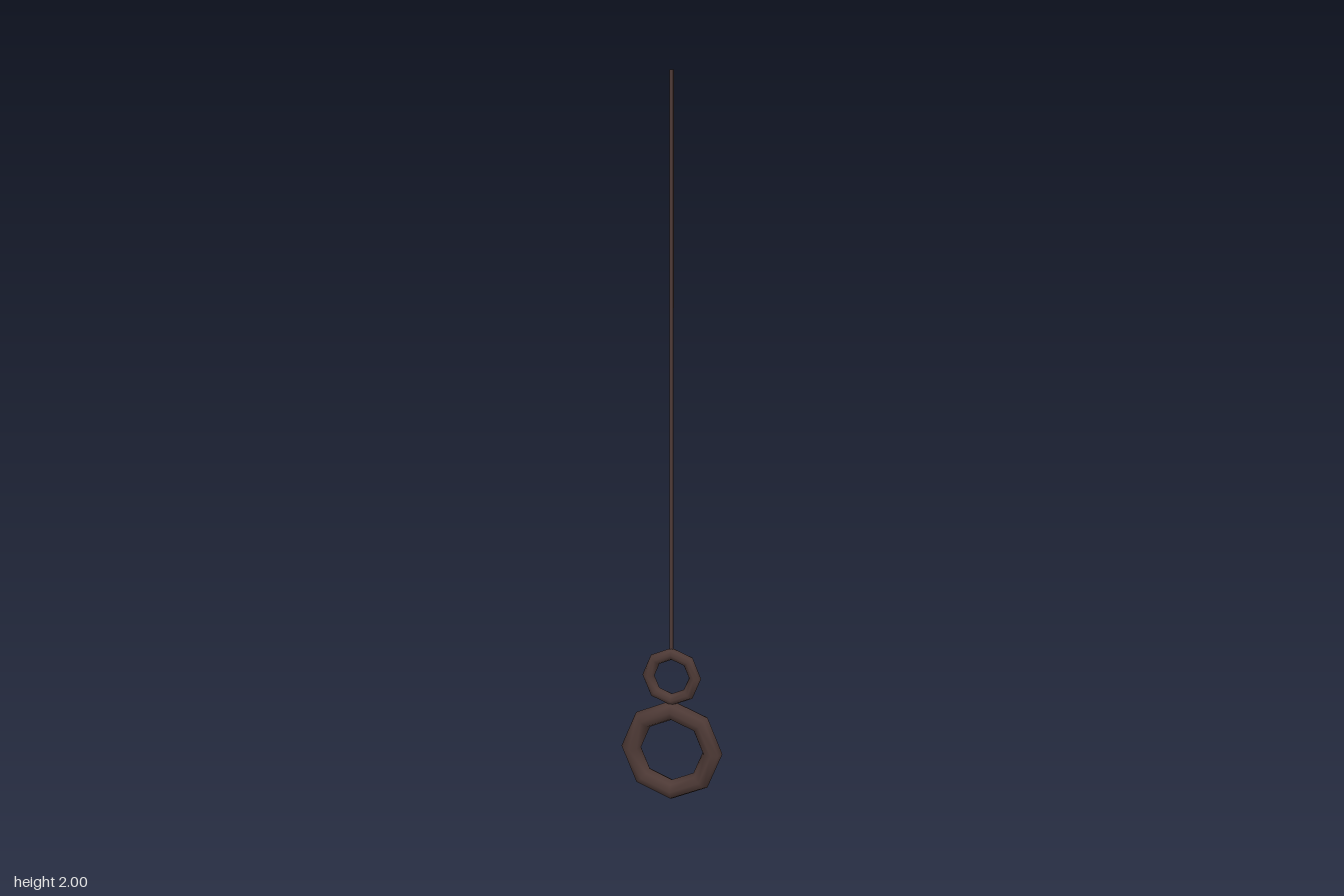
import * as THREE from 'three';

export function createModel() {
  const group = new THREE.Group();
  const material = new THREE.MeshStandardMaterial({ color: 0x4e3a36 });

  const add = (name, geometry, y) => {
    const mesh = new THREE.Mesh(geometry, material);
    mesh.name = name;
    mesh.position.y = y;
    group.add(mesh);
  };

  // Eight-sided rings facing the front, one hanging from the other
  add('largeRing', new THREE.TorusGeometry(0.116, 0.028, 8, 8), 0.144);
  add('smallRing', new THREE.TorusGeometry(0.066, 0.017, 8, 8), 0.357);

  // Thin square cord from the small ring up to the top
  const bottom = 0.425, top = 2;
  add('cord', new THREE.BoxGeometry(0.009, top - bottom, 0.009), (top + bottom) / 2);

  return group;
}
